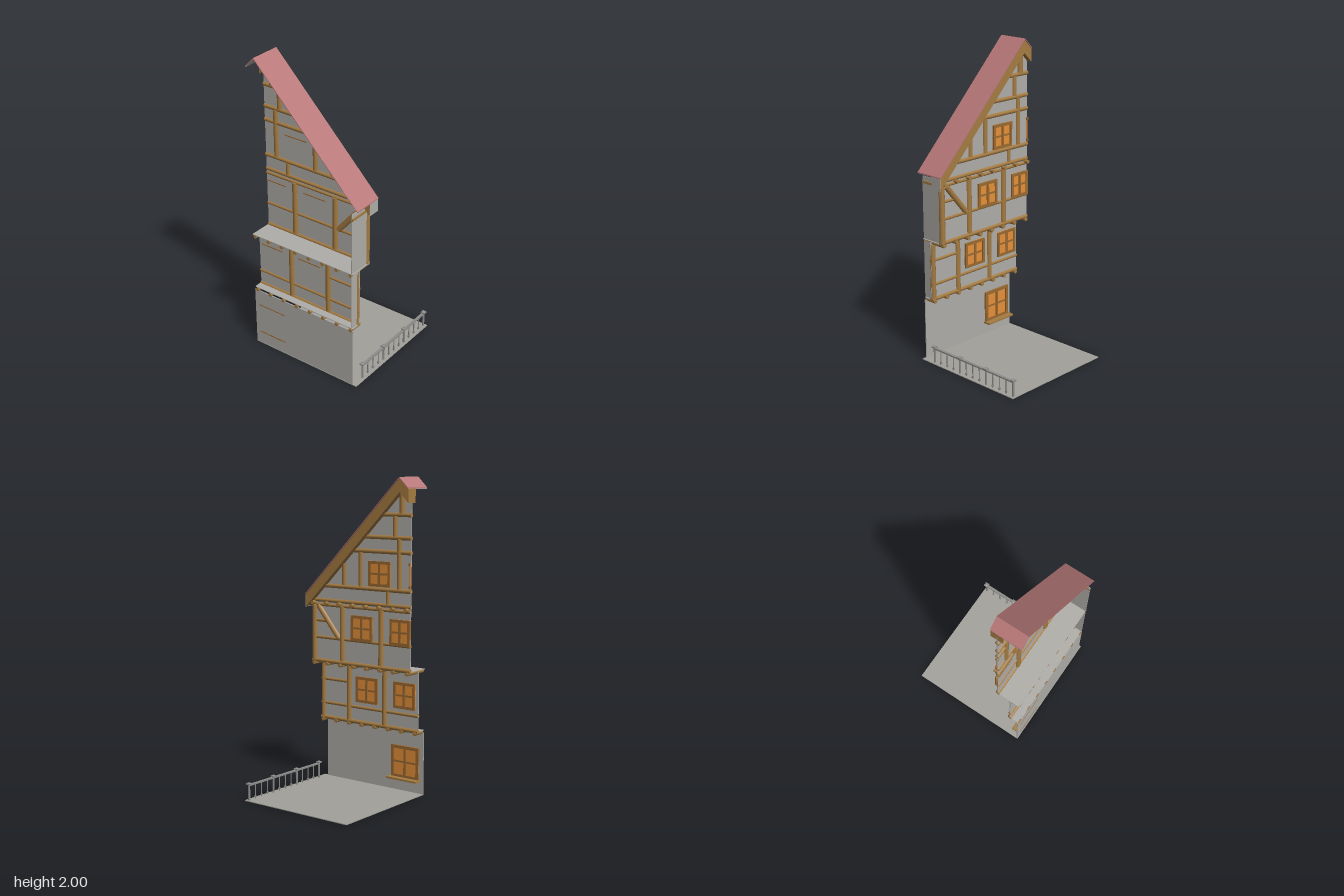
import * as THREE from 'three';

export function createModel() {
  const model = new THREE.Group();
  const mat = (name, color, side = THREE.FrontSide) => {
    const m = new THREE.MeshStandardMaterial({ color, side });
    m.name = name;
    return m;
  };
  const plaster = mat('plaster', 0xb0aea9, THREE.DoubleSide);
  const stone = mat('stone', 0xa3a19b);
  const iron = mat('railing grey', 0x8c8c8a);
  const wood = mat('timber', 0xa67c42);
  const tile = mat('roof red', 0xb87878, THREE.DoubleSide);
  const frameWood = mat('window frame', 0x9c6a30);
  const glow = mat('lit glass', 0xf0963c);

  const add = (name, geo, m, parent = model) => {
    const mesh = new THREE.Mesh(geo, m);
    mesh.name = name;
    parent.add(mesh);
    return mesh;
  };
  const group = (name, parent = model) => {
    const g = new THREE.Group();
    g.name = name;
    parent.add(g);
    return g;
  };
  // box given by its minimum and maximum corners
  const box = (name, a, b, m, parent) => {
    const mesh = add(name, new THREE.BoxGeometry(b[0] - a[0], b[1] - a[1], b[2] - a[2]), m, parent);
    mesh.position.set((a[0] + b[0]) / 2, (a[1] + b[1]) / 2, (a[2] + b[2]) / 2);
    return mesh;
  };
  // eight-sided log between two points, w wide
  const log = (name, a, b, w, parent, m = wood) => {
    const p = new THREE.Vector3(...a), q = new THREE.Vector3(...b);
    const r = w / 2 / Math.cos(Math.PI / 8);
    const geo = new THREE.CylinderGeometry(r, r, p.distanceTo(q), 8);
    geo.rotateY(Math.PI / 8);
    const mesh = add(name, geo, m, parent);
    mesh.position.copy(p).add(q).multiplyScalar(0.5);
    mesh.quaternion.setFromUnitVectors(new THREE.Vector3(0, 1, 0), q.sub(p).normalize());
    return mesh;
  };
  const slab = (name, pts, z0, z1, m, parent) => {
    const shape = new THREE.Shape(pts.map(p => new THREE.Vector2(...p)));
    const geo = new THREE.ExtrudeGeometry(shape, { depth: z1 - z0, bevelEnabled: false });
    geo.translate(0, 0, z0);
    return add(name, geo, m, parent);
  };

  const L = -0.4, R = 0.37;      // side limits of the house
  const Z2 = 0.333, Z3 = 0.24;   // wall planes of the jettied storeys

  // courtyard and ground floor wall
  box('courtyard', [-0.4, 0, -0.4], [0.4, 0.005, 0.4], stone);
  box('groundFloorWall', [L, 0, 0.392], [R, 0.405, 0.398], plaster);

  // upper walls, side returns and floors
  box('middleWall', [L, 0.42, Z2 - 0.003], [R, 0.805, Z2 + 0.003], plaster);
  box('middleSideWall', [R - 0.012, 0.42, Z2], [R - 0.008, 0.8, 0.4], plaster);
  box('middleFloor', [L, 0.42, Z2], [R, 0.424, 0.395], plaster);
  box('upperWall', [L, 0.81, Z3 - 0.003], [R, 1.2, Z3 + 0.003], plaster);
  box('upperSideWall', [R - 0.012, 0.81, Z3], [R - 0.008, 1.22, 0.4], plaster);
  box('upperFloor', [L, 0.81, Z3], [R, 0.814, 0.4], plaster);
  box('sidePlate', [R - 0.014, 1.175, Z3], [R - 0.002, 1.19, 0.4], wood);
  slab('gableWall', [[L, 1.19], [R, 1.19], [R, 1.24], [-0.335, 1.95], [L, 1.89]], Z3 - 0.003, Z3 + 0.003, plaster);

  // timber framing: rails [y, x0, x1, width], posts [x, y0, y1, width]
  const framing = (name, z, rails, posts) => {
    const g = group(name);
    for (const [y, x0, x1, w] of rails) log('rail', [x0, y, z], [x1, y, z], w, g);
    for (const [x, y0, y1, w] of posts) log('post', [x, y0, z], [x, y1, z], w, g);
    return g;
  };
  framing('middleFraming', Z2,
    [[0.422, L, R, 0.026], [0.52, L, R, 0.02], [0.68, 0.15, R, 0.02]],
    [[-0.143, 0.43, 0.785, 0.036], [0.14, 0.43, 0.785, 0.036], [0.352, 0.43, 0.785, 0.034]]);
  const upper = framing('upperFraming', Z3,
    [[0.817, L, R, 0.026], [0.97, L, 0.35, 0.02], [1.08, 0.23, 0.36, 0.02], [1.182, L, R, 0.02]],
    [[-0.18, 0.83, 1.18, 0.038], [0.125, 0.83, 1.18, 0.038], [0.352, 0.82, 1.18, 0.036]]);
  log('brace', [0.15, 0.97, Z3], [0.32, 1.175, Z3], 0.036, upper);
  framing('gableFraming', Z3,
    [[1.212, L, R, 0.024], [1.308, L, 0.29, 0.026], [1.543, L, 0.05, 0.026],
      [1.632, L, -0.03, 0.026], [1.772, L, -0.17, 0.026]],
    [[-0.23, 1.22, 1.3, 0.03], [-0.315, 1.32, 1.625, 0.034], [-0.02, 1.32, 1.535, 0.034],
      [0.11, 1.32, 1.46, 0.032], [-0.282, 1.64, 1.765, 0.034], [-0.333, 1.78, 1.92, 0.04]]);

  // joist ends carrying each overhang
  const joists = (name, y, z0, z1, w) => {
    const g = group(name);
    for (let i = 0; i < 8; i++) {
      const x = L + 0.02 + i * (R - L - 0.04) / 7;
      log('joist', [x, y, z0], [x, y, z1], w, g);
    }
  };
  joists('middleJoists', 0.408, 0.315, 0.4, 0.024);
  joists('upperJoists', 0.8, 0.222, 0.4, 0.024);
  joists('gableJoists', 1.195, 0.205, 0.24, 0.022);

  // windows look towards -z; zw is the wall plane
  const windowUnit = (name, x0, x1, y0, y1, zw, f = 0.018) => {
    const g = group(name), zo = zw - 0.016, zi = zw;
    const xm = (x0 + x1) / 2, ym = (y0 + y1) / 2;
    box('glass', [x0, y0, zw - 0.009], [x1, y1, zw - 0.003], glow, g);
    for (const y of [y0, y1 - f]) box('frameRail', [x0, y, zo], [x1, y + f, zi], frameWood, g);
    if (x1 - x0 > 0.05) {
      for (const x of [x0, x1 - f]) box('frameStile', [x, y0, zo], [x + f, y1, zi], frameWood, g);
      box('mullion', [xm - 0.008, y0, zo], [xm + 0.008, y1, zi], frameWood, g);
      box('transom', [x0, ym - 0.006, zo + 0.003], [x1, ym + 0.006, zi], frameWood, g);
    }
    // thin head line on the inner face
    box('innerHead', [x0, y1 - 0.006, zw], [x1, y1, zw + 0.006], frameWood, g);
    return g;
  };
  const low = windowUnit('groundWindow', -0.37, -0.16, 0.09, 0.3, 0.394, 0.02);
  box('sill', [-0.38, 0.082, 0.34], [-0.15, 0.094, 0.394], wood, low);
  box('innerSill', [-0.37, 0.086, 0.394], [-0.16, 0.093, 0.4], frameWood, low);
  windowUnit('middleWindowA', -0.38, -0.215, 0.555, 0.723, Z2);
  windowUnit('middleWindowB', -0.09, 0.08, 0.555, 0.723, Z2);
  windowUnit('upperWindowA', -0.4, -0.25, 0.97, 1.132, Z3);
  windowUnit('upperWindowB', -0.115, 0.05, 0.97, 1.132, Z3);
  windowUnit('gableWindow', -0.25, -0.085, 1.325, 1.483, Z3);
  windowUnit('gableWindowEdge', -0.4, -0.39, 1.325, 1.483, Z3);

  // barge boards, cut end and roof
  slab('bargeBoards', [[L, 1.845], [-0.335, 1.908], [0.398, 1.165], [0.398, 1.242], [-0.335, 1.992], [L, 1.928]],
    0.2, 0.278, wood);
  box('bargeEnd', [0.396, 1.165, 0.2], [0.4, 1.243, 0.278], plaster);
  slab('roofTiles', [[L, 1.93], [-0.335, 1.994], [0.4, 1.244], [0.4, 1.25], [-0.335, 2], [L, 1.936]],
    0.195, 0.4, tile);
  slab('roofUnderside', [[L, 1.926], [-0.335, 1.99], [0.397, 1.241], [0.397, 1.243], [-0.335, 1.993], [L, 1.929]],
    0.28, 0.398, plaster);

  // railing along the courtyard edge
  const fence = group('railing');
  const FX = 0.378, zs = 0.305, ze = -0.383;
  box('handrail', [FX - 0.009, 0.097, ze], [FX + 0.009, 0.106, zs], iron, fence);
  for (let i = 0; i <= 12; i++) {
    const z = zs + (ze - zs) * i / 12, main = i % 4 === 0;
    log(main ? 'mainPost' : 'baluster', [FX, 0, z], [FX, 0.105, z], main ? 0.013 : 0.007, fence, iron);
    if (main) {
      box('postCap', [FX - 0.014, 0.105, z - 0.014], [FX + 0.014, 0.114, z + 0.014], iron, fence);
      const tip = add('capTip', new THREE.ConeGeometry(0.016, 0.006, 4), iron, fence);
      tip.rotation.y = Math.PI / 4;
      tip.position.set(FX, 0.117, z);
    } else {
      box('collar', [FX - 0.006, 0.012, z - 0.006], [FX + 0.006, 0.022, z + 0.006], iron, fence);
    }
  }
  return model;
}
